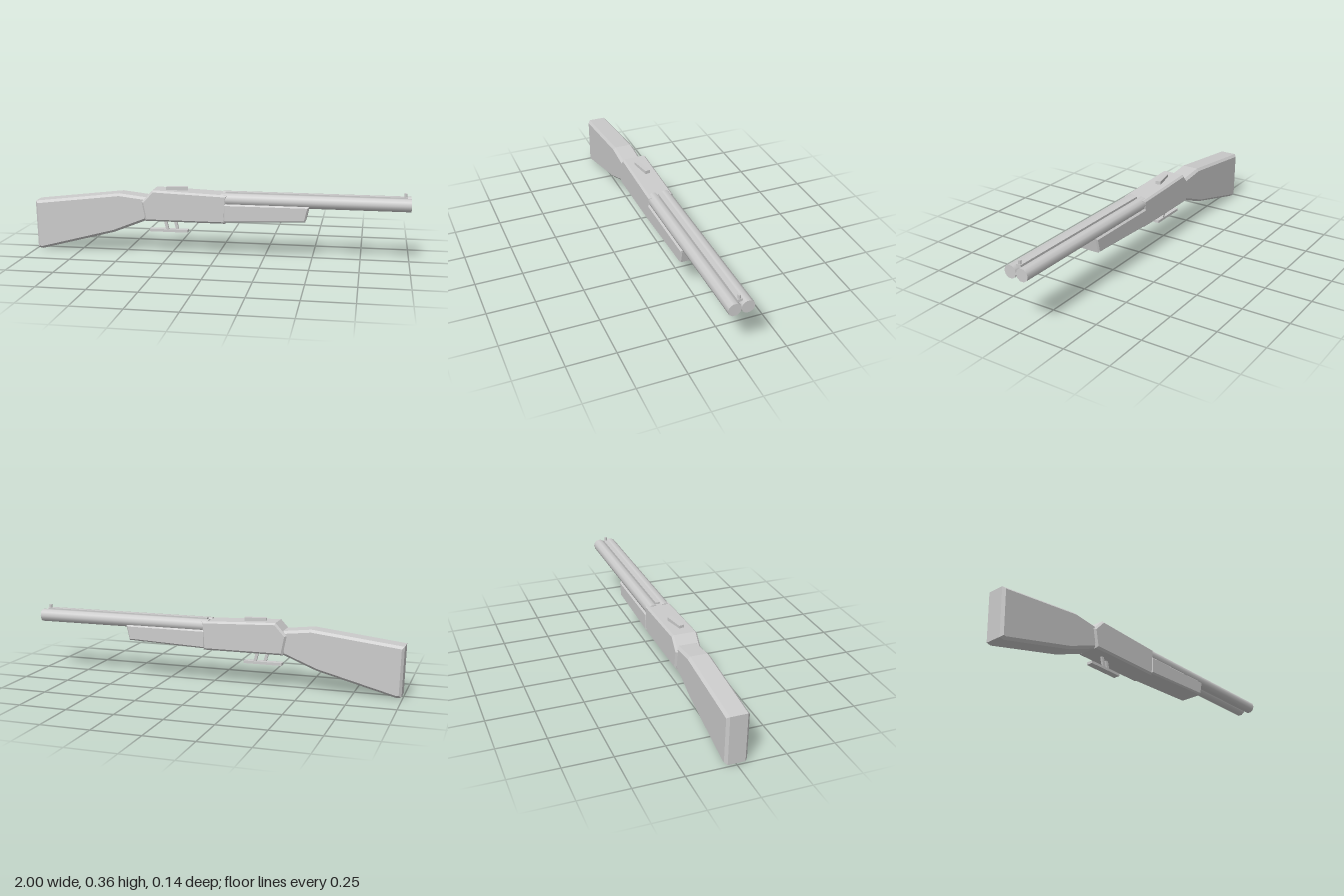
import * as THREE from 'three';

export function createModel() {
  const model = new THREE.Group();
  const grey = new THREE.MeshStandardMaterial({ color: 0xcccccc });
  grey.name = 'plain grey';

  function add(name, geometry, x = 0, y = 0, z = 0) {
    const mesh = new THREE.Mesh(geometry, grey);
    mesh.name = name;
    mesh.position.set(x, y, z);
    model.add(mesh);
    return mesh;
  }

  // Side profile extruded across z, with one chamfer round both faces
  function slab(name, points, halfWidth, chamfer) {
    const shape = new THREE.Shape(points.map(([x, y]) => new THREE.Vector2(x, y)));
    const geometry = new THREE.ExtrudeGeometry(shape, {
      depth: 2 * (halfWidth - chamfer), bevelEnabled: chamfer > 0, bevelSegments: 1,
      bevelSize: chamfer, bevelThickness: chamfer, bevelOffset: -chamfer,
    });
    geometry.translate(0, 0, chamfer - halfWidth);
    return add(name, geometry);
  }

  // Stock, receiver and fore-end
  slab('stock', [[-0.97, 0], [-0.56, 0.108], [-0.38, 0.18], [-0.37, 0.302],
    [-0.53, 0.32], [-1, 0.264], [-0.994, 0.005]], 0.057, 0.013);
  slab('receiver', [[-0.385, 0.178], [0.045, 0.178], [0.055, 0.33],
    [-0.345, 0.345], [-0.405, 0.28]], 0.067, 0.01);
  slab('foreEnd', [[0.035, 0.186], [0.465, 0.203], [0.483, 0.284],
    [0.035, 0.284]], 0.07, 0.008);

  // Twin barrels with the rib and bead between them
  for (const side of [-1, 1]) {
    const barrel = new THREE.CylinderGeometry(0.034, 0.034, 0.98, 10);
    barrel.rotateZ(-Math.PI / 2);
    add(side > 0 ? 'leftBarrel' : 'rightBarrel', barrel, 0.51, 0.304, side * 0.033);
  }
  add('rib', new THREE.BoxGeometry(0.94, 0.015, 0.026), 0.51, 0.333, 0);
  add('bead', new THREE.CylinderGeometry(0.008, 0.008, 0.03, 8), 0.97, 0.345, 0);

  // Skewed top lever
  add('topLever', new THREE.BoxGeometry(0.115, 0.02, 0.028), -0.224, 0.347, -0.001)
    .rotation.y = 0.19;

  // Two slanted triggers above the guard plate
  [[-0.297, 0.009], [-0.247, -0.009]].forEach(([x, z], i) => {
    slab(i ? 'rearTrigger' : 'frontTrigger', [[x + 0.014, 0.124], [x + 0.03, 0.124],
      [x + 0.015, 0.185], [x - 0.001, 0.185]], 0.006, 0).position.z = z;
  });
  add('guardPlate', new THREE.BoxGeometry(0.205, 0.014, 0.036), -0.268, 0.119, 0);

  return model;
}
